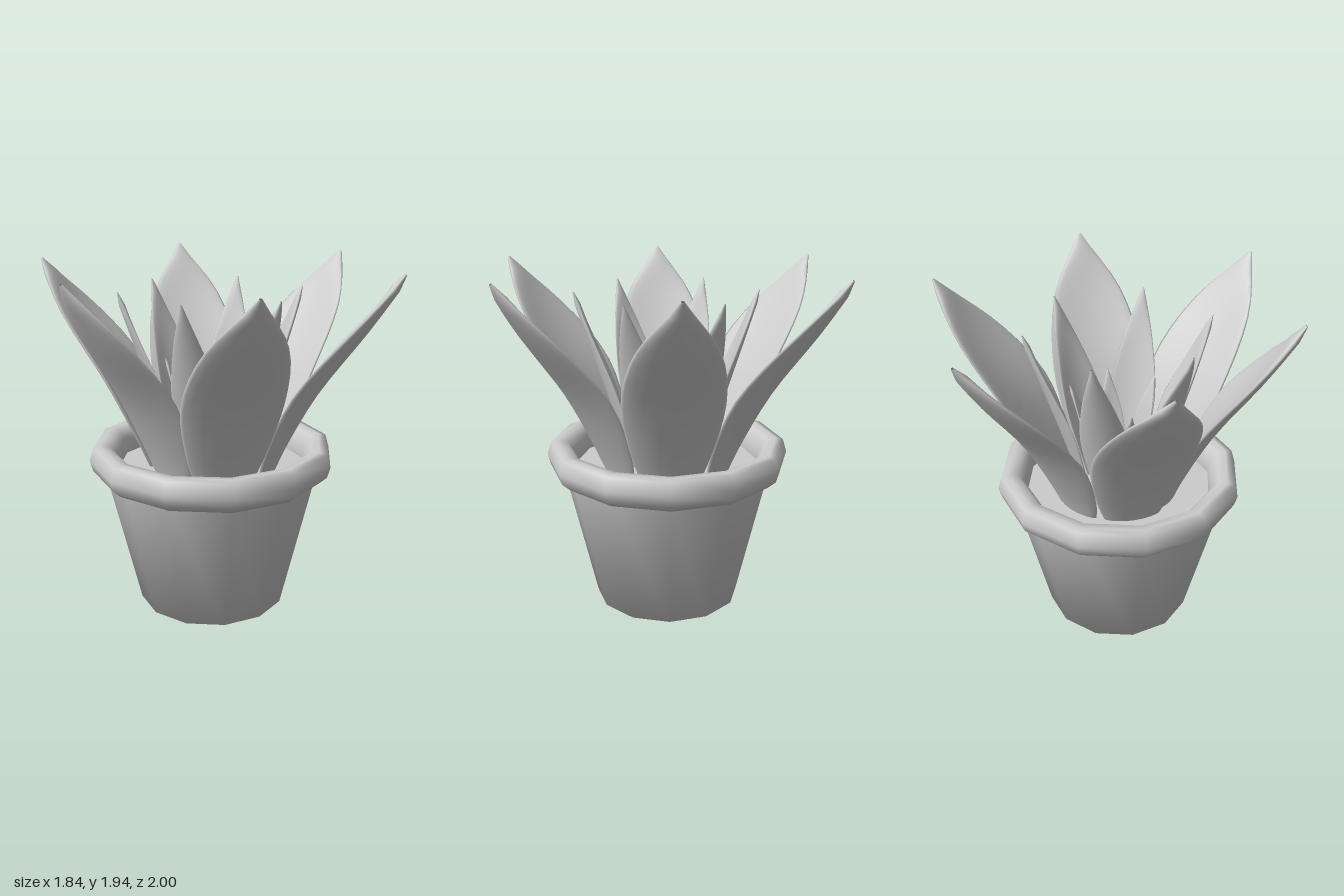
import * as THREE from 'three';

const SIDES = 12;
const grey = new THREE.MeshStandardMaterial({ color: 0xcccccc, side: THREE.DoubleSide });

function mesh(name, geometry) {
  const m = new THREE.Mesh(geometry, grey);
  m.name = name;
  return m;
}

function lathe(profile) {
  return new THREE.LatheGeometry(profile.map(([r, y]) => new THREE.Vector2(r, y)), SIDES);
}

// Pointed, cupped leaf leaning towards +z. Each station is [half width, height, distance from axis].
function leafGeometry(stations, cup, thickness) {
  const curve = new THREE.CatmullRomCurve3(stations.map((s) => new THREE.Vector3(...s)));
  const rows = 16, ring = 20;
  const positions = [], indices = [];
  for (let i = 0; i <= rows; i++) {
    const { x: w, y, z } = curve.getPoint(i / rows);
    const tangent = curve.getTangent(i / rows);
    const length = Math.hypot(tangent.y, tangent.z);
    const ny = tangent.z / length, nz = -tangent.y / length;
    const t = Math.min(thickness, w * 0.8);
    for (let j = 0; j < ring; j++) {
      const a = (j / ring) * Math.PI * 2;
      const side = w * Math.cos(a);
      const lift = cup * side * side + t * Math.sin(a);
      positions.push(side, y + ny * lift, z + nz * lift);
      if (i === rows) continue;
      const p = i * ring + j, q = i * ring + (j + 1) % ring;
      indices.push(p, q, q + ring, p, q + ring, p + ring);
    }
  }
  const g = new THREE.BufferGeometry();
  g.setAttribute('position', new THREE.Float32BufferAttribute(positions, 3));
  g.setIndex(indices);
  g.computeVertexNormals();
  return g;
}

// Six copies of one leaf around the axis; reach varies how far each one spreads
function whorl(name, geometry, startDegrees, reach) {
  const group = new THREE.Group();
  group.name = name;
  group.position.set(-0.012, 0, 0.043);
  reach.forEach((spread, i) => {
    const leaf = mesh('leaf', geometry);
    leaf.rotation.y = THREE.MathUtils.degToRad(startDegrees + i * 60);
    leaf.scale.z = spread;
    group.add(leaf);
  });
  return group;
}

export function createModel() {
  const model = new THREE.Group();
  model.name = 'pottedSucculent';

  // Tapered pot with a thick rounded rim, filled with soil
  const pot = new THREE.Group();
  pot.name = 'pot';
  pot.position.set(-0.015, 0, 0.045);
  pot.add(mesh('potBody', lathe([[0, 0], [0.42, 0], [0.605, 0.79]])));
  pot.add(mesh('potRim', lathe([
    [0.54, 0.78], [0.63, 0.77], [0.675, 0.81], [0.692, 0.87], [0.67, 0.945],
    [0.63, 0.953], [0.58, 0.945], [0.545, 0.9], [0.53, 0.83], [0.54, 0.78],
  ])));
  const soil = mesh('soil', new THREE.CircleGeometry(0.56, SIDES));
  soil.rotation.x = -Math.PI / 2;
  soil.position.y = 0.81;
  pot.add(soil);
  model.add(pot);

  // Three whorls of leaves, shorter and steeper towards the middle
  model.add(whorl('outerLeaves', leafGeometry([
    [0.15, 0.78, 0.32], [0.21, 0.95, 0.39], [0.27, 1.28, 0.56],
    [0.2, 1.64, 0.81], [0.008, 1.935, 1.0],
  ], 0.85, 0.025), 1.8, [0.945, 1.04, 1.025, 1.045, 1.03, 1.015]));
  model.add(whorl('middleLeaves', leafGeometry([
    [0.07, 0.78, 0.19], [0.1, 0.95, 0.235], [0.137, 1.23, 0.32],
    [0.085, 1.54, 0.42], [0.004, 1.81, 0.51],
  ], 2.2, 0.016), 33, [1, 1, 1, 1, 1, 1]));
  model.add(whorl('innerLeaves', leafGeometry([
    [0.035, 0.78, 0.1], [0.055, 0.92, 0.135], [0.073, 1.08, 0.18],
    [0.045, 1.26, 0.225], [0.003, 1.41, 0.275],
  ], 4, 0.01), 2, [0.97, 1, 1, 1.03, 1, 1]));

  return model;
}
